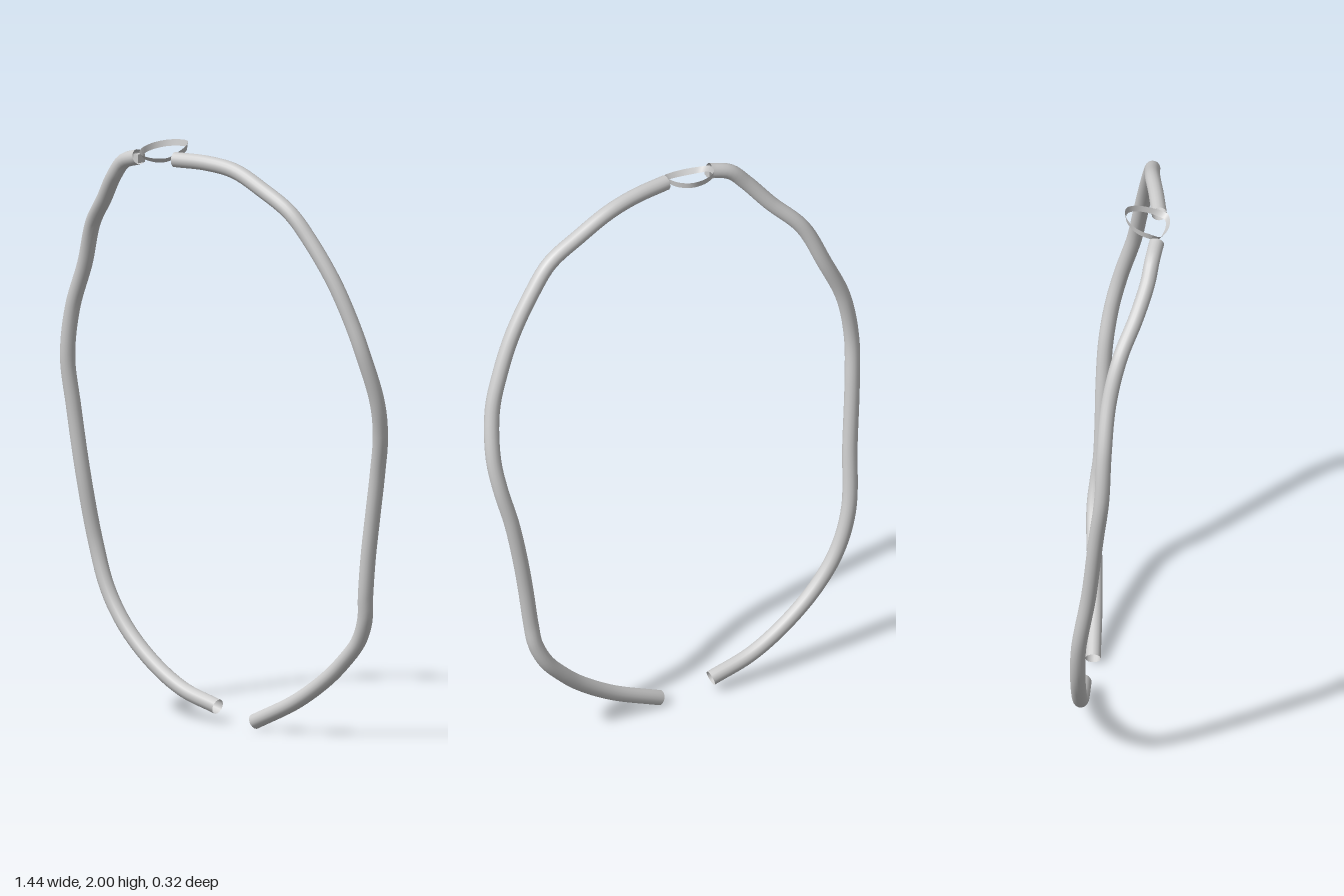
import * as THREE from 'three';

const material = new THREE.MeshStandardMaterial({ color: 0xcccccc, side: THREE.DoubleSide });
const curveThrough = (points, closed = false) =>
  new THREE.CatmullRomCurve3(points.map(p => new THREE.Vector3(...p)), closed, 'centripetal');

// Open-ended hose following a hand-bent path
function hose(name, points) {
  const mesh = new THREE.Mesh(new THREE.TubeGeometry(curveThrough(points), 120, 0.026, 16), material);
  mesh.name = name;
  return mesh;
}

// Thin closed ribbon: upright at the back, leaning outward at the front
function ribbonLoop(name, points, width) {
  const curve = curveThrough(points, true), n = 64;
  const centre = new THREE.Vector3(-0.15, 1.965, 0.08);
  const position = [], index = [];
  for (let i = 0; i <= n; i++) {
    const p = curve.getPointAt((i % n) / n);
    const out = p.clone().sub(centre).setY(0).normalize();
    const lean = 0.15 + 0.85 * THREE.MathUtils.smoothstep(p.z, 0.08, 0.14);
    const across = new THREE.Vector3(out.x * lean, 1, out.z * lean).normalize().multiplyScalar(width / 2);
    const a = p.clone().add(across), b = p.clone().sub(across);
    position.push(a.x, a.y, a.z, b.x, b.y, b.z);
    if (i < n) {
      const k = i * 2;
      index.push(k, k + 1, k + 2, k + 1, k + 3, k + 2);
    }
  }
  const geometry = new THREE.BufferGeometry();
  geometry.setAttribute('position', new THREE.Float32BufferAttribute(position, 3));
  geometry.setIndex(index);
  geometry.computeVertexNormals();
  const mesh = new THREE.Mesh(geometry, material);
  mesh.name = name;
  return mesh;
}

export function createModel() {
  const group = new THREE.Group();
  group.name = 'hoseLoop';

  // Left half, from the clasp round to the open bottom end
  group.add(hose('leftHose', [
    [-0.07, 1.95, 0.112], [0.06, 1.948, 0.095], [0.17, 1.93, 0.08], [0.29, 1.875, 0.073],
    [0.405, 1.81, 0.068], [0.48, 1.725, 0.055], [0.57, 1.59, 0.035], [0.63, 1.46, 0.015],
    [0.67, 1.34, -0.005], [0.692, 1.18, -0.05], [0.68, 1.06, -0.08], [0.65, 0.93, -0.1],
    [0.62, 0.77, -0.108], [0.6, 0.64, -0.11], [0.583, 0.5, -0.115], [0.572, 0.42, -0.125],
    [0.535, 0.34, -0.134], [0.47, 0.265, -0.132], [0.4, 0.2, -0.126], [0.27, 0.112, -0.12],
    [0.085, 0.025, -0.118]
  ]));

  // Right half
  group.add(hose('rightHose', [
    [-0.235, 1.943, 0.11], [-0.31, 1.92, 0.098], [-0.365, 1.865, 0.085], [-0.44, 1.775, 0.05],
    [-0.535, 1.675, 0.0], [-0.6, 1.53, -0.035], [-0.667, 1.37, -0.048], [-0.695, 1.2, -0.055],
    [-0.686, 1.03, -0.075], [-0.663, 0.79, -0.1], [-0.638, 0.56, -0.135], [-0.59, 0.41, -0.14],
    [-0.51, 0.29, -0.14], [-0.39, 0.18, -0.14], [-0.255, 0.1, -0.141], [-0.1, 0.055, -0.141]
  ]));

  // Ring that links the two upper ends
  group.add(ribbonLoop('claspRing', [
    [-0.228, 1.962, 0.095], [-0.22, 1.975, 0.05], [-0.19, 1.984, 0.018], [-0.15, 1.988, 0.002],
    [-0.11, 1.988, 0.006], [-0.085, 1.98, 0.035], [-0.075, 1.965, 0.085], [-0.085, 1.95, 0.135],
    [-0.12, 1.945, 0.143], [-0.175, 1.945, 0.135], [-0.215, 1.95, 0.118]
  ], 0.022));

  // Small tab joining the ring to the right hose
  const tab = new THREE.Mesh(new THREE.BoxGeometry(0.02, 0.03, 0.035), material);
  tab.name = 'claspTab';
  tab.position.set(-0.236, 1.938, 0.105);
  group.add(tab);

  return group;
}
